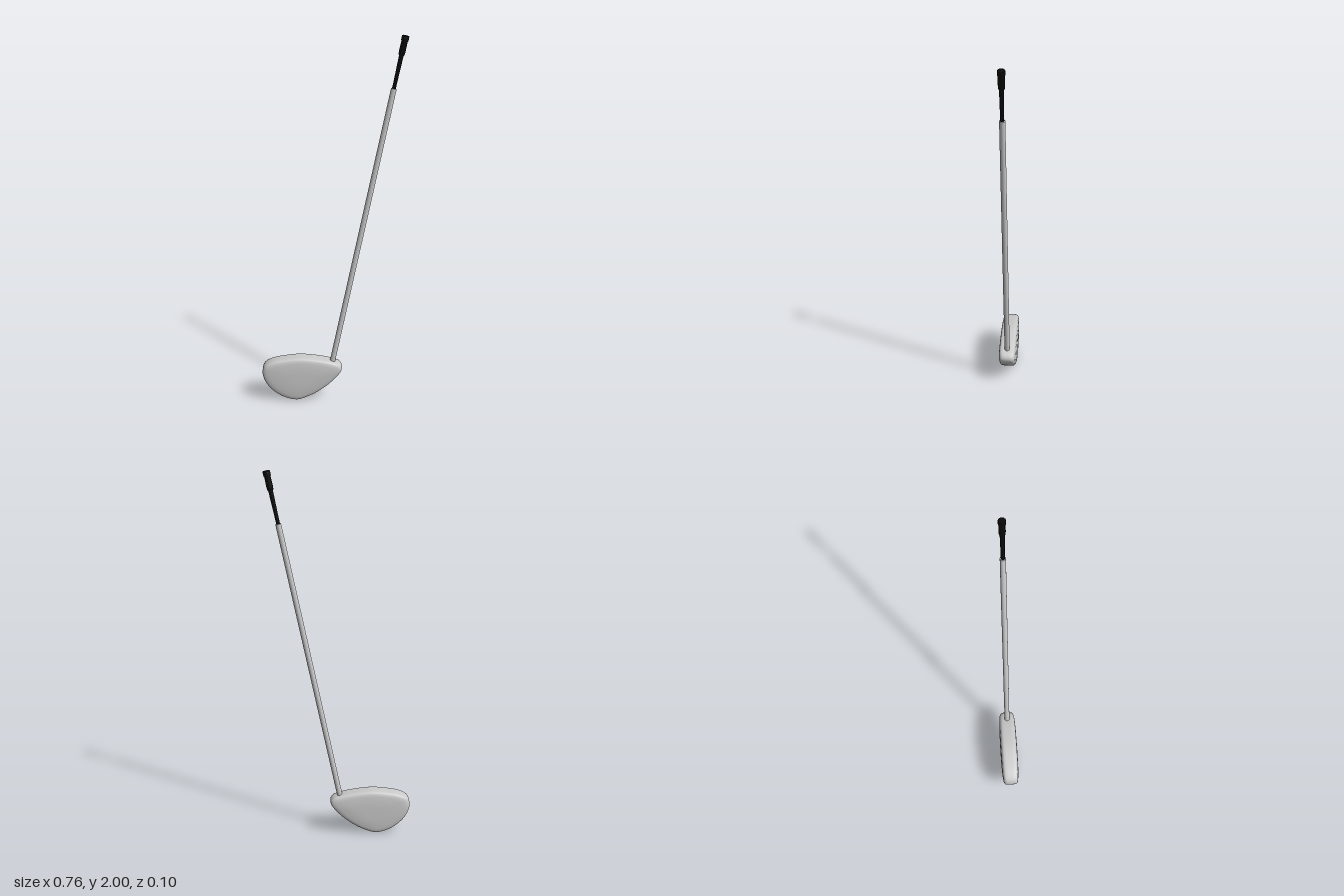
import * as THREE from 'three';

const metal = new THREE.MeshStandardMaterial({ color: 0xcccccc });
const rubber = new THREE.MeshStandardMaterial({ color: 0x0a0a0a });

// Closed outline of the head, counter-clockwise from the toe
const OUTLINE = [
  [-0.383, 0.17], [-0.375, 0.13], [-0.345, 0.08], [-0.28, 0.027], [-0.2, 0.003],
  [-0.14, 0.02], [-0.07, 0.058], [0.01, 0.125], [0.054, 0.188], [0.043, 0.212],
  [0, 0.23], [-0.08, 0.247], [-0.175, 0.256], [-0.26, 0.248], [-0.33, 0.233], [-0.372, 0.208],
];

// Rings from the face centre to the rim: [outline scale, z]
const HALF = [[0, 0.05], [0.3, 0.05], [0.55, 0.049], [0.8, 0.046], [0.91, 0.0425],
  [0.96, 0.038], [0.985, 0.032], [0.997, 0.023], [1, 0.011]];

function headGeometry() {
  const n = 80, cx = -0.165, cy = 0.135;
  const curve = new THREE.CatmullRomCurve3(
    OUTLINE.map(([x, y]) => new THREE.Vector3(x, y, 0)), true);
  const points = curve.getSpacedPoints(n).slice(0, n);
  const rings = [...HALF, ...[...HALF].reverse().map(([s, z]) => [s, -z])];
  const position = [], index = [];
  rings.forEach(([s, z], i) => {
    points.forEach((p, j) => {
      position.push(cx + (p.x - cx) * s, cy + (p.y - cy) * s, z);
      if (i === rings.length - 1) return;
      const a = i * n + j, b = i * n + (j + 1) % n, c = a + n, d = b + n;
      if (i > 0) index.push(a, c, b);
      if (i < rings.length - 2) index.push(b, c, d);
      else index.push(a, c, b);
    });
  });
  const geometry = new THREE.BufferGeometry();
  geometry.setAttribute('position', new THREE.Float32BufferAttribute(position, 3));
  geometry.setIndex(index);
  geometry.computeVertexNormals();
  return geometry;
}

export function createModel() {
  const model = new THREE.Group();
  const add = (parent, geometry, material, name) => {
    const mesh = new THREE.Mesh(geometry, material);
    mesh.name = name;
    parent.add(mesh);
    return mesh;
  };

  add(model, headGeometry(), metal, 'head');

  // Handle leans toward +x, its origin where it enters the head
  const handle = new THREE.Group();
  handle.name = 'handle';
  handle.position.set(0.003, 0.23, 0);
  handle.rotation.z = -Math.atan2(0.304, 1.505);
  model.add(handle);

  const start = -0.03, end = 1.535;
  add(handle, new THREE.CylinderGeometry(0.0145, 0.0145, end - start, 24), metal, 'shaft')
    .position.y = (start + end) / 2;

  // Slim grip widening to a capped butt
  const profile = [[0, -0.01], [0.0095, -0.01], [0.0095, 0.03], [0.0115, 0.165], [0.0155, 0.175],
    [0.0165, 0.19], [0.0155, 0.238], [0.0185, 0.243], [0.0185, 0.264], [0.016, 0.267], [0, 0.267]];
  add(handle, new THREE.LatheGeometry(profile.map(([r, y]) => new THREE.Vector2(r, y)), 24),
    rubber, 'grip').position.y = end;

  return model;
}
